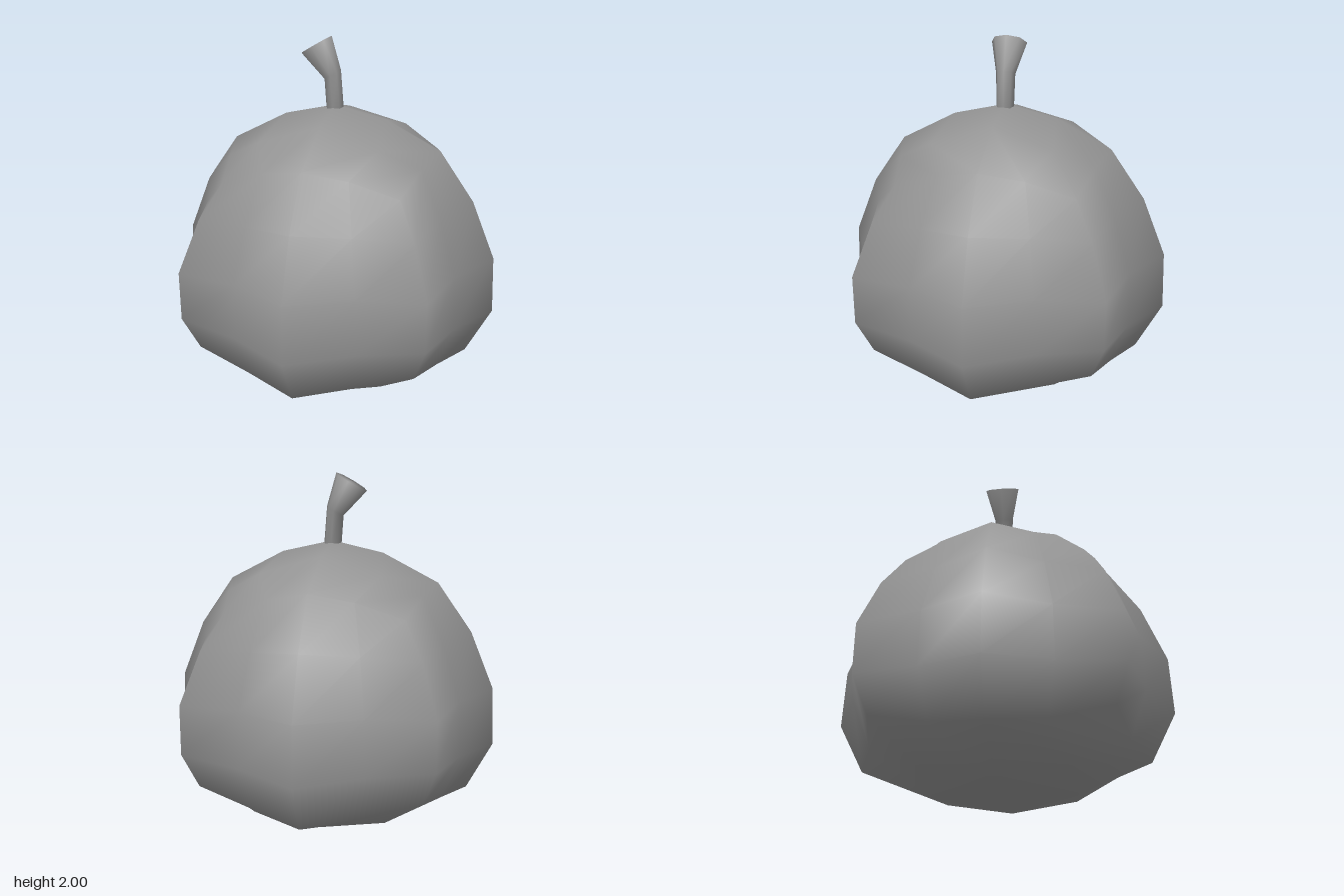
import * as THREE from 'three';
import { mergeVertices } from 'three/addons/utils/BufferGeometryUtils.js';

const material = new THREE.MeshStandardMaterial({ color: 0x949494 });

// Weld shared corners and smooth the normals across them
function smooth(geometry) {
  geometry.deleteAttribute('uv');
  geometry.deleteAttribute('normal');
  const welded = mergeVertices(geometry);
  welded.computeVertexNormals();
  return welded;
}

// Profiles [radius, height] up the sides of the gourd, from bottom edge to top edge
const SIDE = {
  ridge: [[0.79, 0.22], [0.932, 0.49], [0.92, 0.81], [0.79, 1.13], [0.6, 1.4]],
  groove: [[0.735, 0.26], [0.835, 0.51], [0.823, 0.81], [0.72, 1.1], [0.59, 1.355]],
  corner: [[0.857, 0.335], [0.955, 0.53], [0.955, 0.8], [0.83, 1.075], [0.687, 1.265]],
};
// Inner points of the bottom and top: centre, straight and diagonal
const CAP = {
  bottom: { centre: [0, 0], ridge: [0.39, 0.06], corner: [0.53, 0.115] },
  top: { centre: [0, 1.625], ridge: [0.29, 1.56], corner: [0.47, 1.465] },
};
const ANGLE = { centre: 0, ridge: 0, groove: 0.405, corner: Math.PI / 4 };

// Gourd body: a 4 x 4 x 4 box grid rounded onto the ribbed profiles
function gourdGeometry() {
  const geometry = new THREE.BoxGeometry(2, 2, 2, 4, 4, 4);
  const p = geometry.attributes.position;
  for (let i = 0; i < p.count; i++) {
    const x = p.getX(i), y = p.getY(i), z = p.getZ(i);
    const ax = Math.abs(x), az = Math.abs(z);
    const big = Math.max(ax, az), small = Math.min(ax, az);
    let kind = 'groove';
    if (big < 0.1) kind = 'centre';
    else if (small < 0.1) kind = 'ridge';
    else if (big - small < 0.1) kind = 'corner';
    const [r, h] = big > 0.9
      ? SIDE[kind][Math.round((y + 1) * 2)]
      : CAP[y > 0 ? 'top' : 'bottom'][kind];
    const along = r * Math.cos(ANGLE[kind]), across = r * Math.sin(ANGLE[kind]);
    p.setXYZ(i,
      Math.sign(x) * (ax >= az ? along : across),
      h,
      Math.sign(z) * (ax >= az ? across : along));
  }
  return smooth(geometry);
}

// Stem: an eight-sided tube bent over to one side and flared at its cut end
function stemGeometry() {
  const rings = [
    { x: 0, y: 1.59, r: 0.05, tilt: 0 },
    { x: -0.015, y: 1.79, r: 0.054, tilt: 0.5 },
    { x: -0.107, y: 1.95, r: 0.1, tilt: 0.53 },
  ];
  const geometry = new THREE.CylinderGeometry(1, 1, 2, 8, 2);
  const p = geometry.attributes.position;
  for (let i = 0; i < p.count; i++) {
    const ring = rings[Math.round(p.getY(i)) + 1];
    const u = p.getX(i) * ring.r;
    p.setXYZ(i,
      ring.x + u * Math.cos(ring.tilt),
      ring.y + u * Math.sin(ring.tilt),
      p.getZ(i) * ring.r);
  }
  return smooth(geometry);
}

export function createModel() {
  const group = new THREE.Group();
  group.name = 'gourd';
  const parts = { body: gourdGeometry(), stem: stemGeometry() };
  for (const [name, geometry] of Object.entries(parts)) {
    const mesh = new THREE.Mesh(geometry, material);
    mesh.name = name;
    group.add(mesh);
  }
  return group;
}
